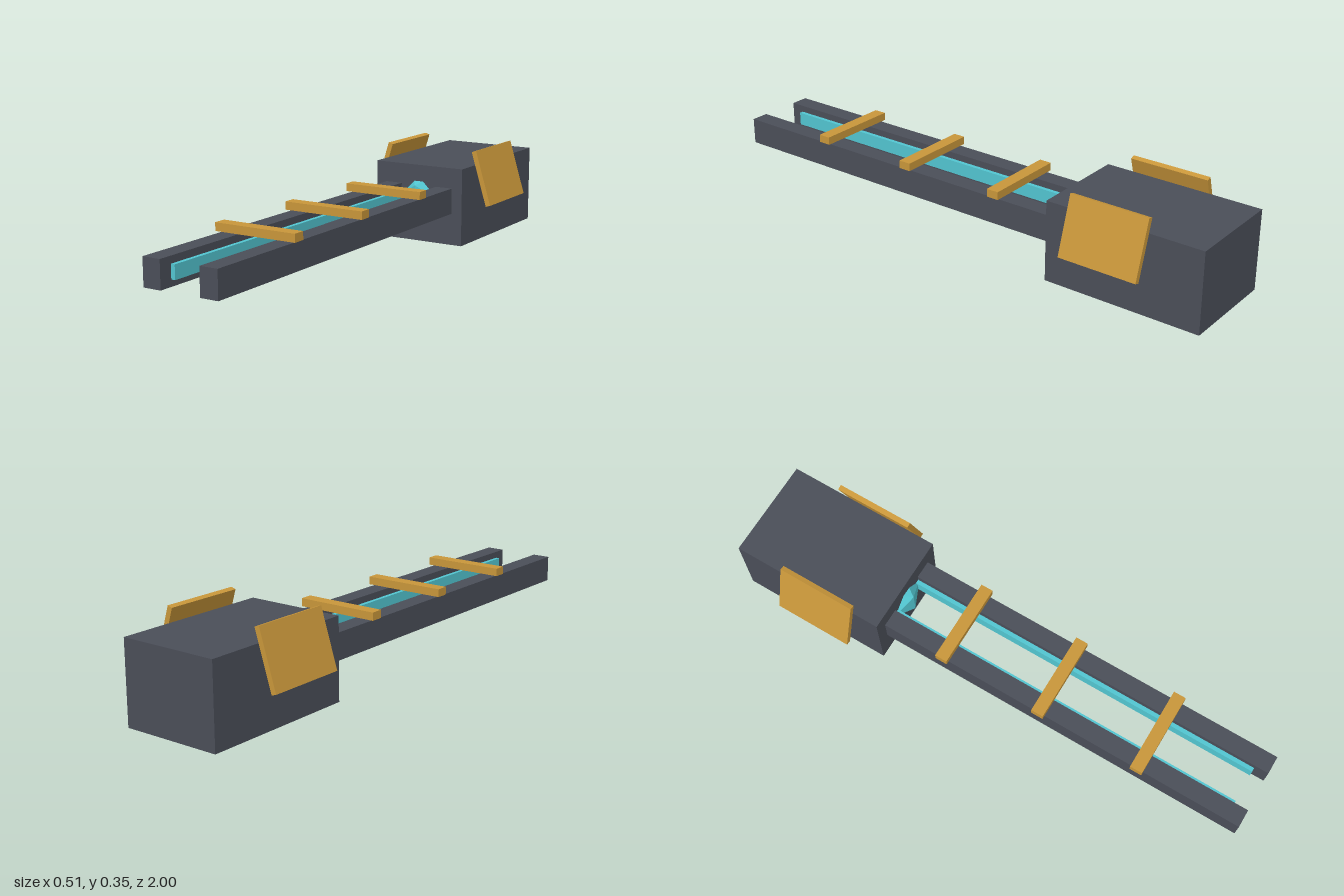
import * as THREE from 'three';

export function createModel() {
  const model = new THREE.Group();
  const material = (name, color) => {
    const m = new THREE.MeshStandardMaterial({ color, flatShading: true });
    m.name = name;
    return m;
  };
  const darkMetal = material('dark metal', 0x4a4e58);
  const gold = material('gold', 0xc8963a);
  const cyan = material('cyan', 0x52c5d0);

  const add = (name, geometry, mat, x, y, z) => {
    const mesh = new THREE.Mesh(geometry, mat);
    mesh.name = name;
    mesh.position.set(x, y, z);
    model.add(mesh);
    return mesh;
  };
  const box = (name, w, h, d, mat, x, y, z) =>
    add(name, new THREE.BoxGeometry(w, h, d), mat, x, y, z);

  // Rear housing with the faceted core half sunk into its front
  box('housing', 0.37, 0.294, 0.585, darkMetal, 0, 0.147, -0.7075);
  add('core', new THREE.IcosahedronGeometry(0.098, 0), cyan, 0, 0.168, -0.468);

  // Mirrored rails, inner glow strips and tilted side fins
  for (const [side, s] of [['left', 1], ['right', -1]]) {
    box(side + 'Rail', 0.067, 0.097, 1.415, darkMetal, s * 0.1085, 0.1685, 0.2925);
    box(side + 'GlowStrip', 0.016, 0.049, 1.365, cyan, s * 0.068, 0.1675, 0.2675);
    const fin = box(side + 'Fin', 0.019, 0.214, 0.293, gold, s * 0.2145, 0.2455, -0.658);
    fin.rotation.z = s * 0.3;
  }

  // Cross bars over the rails
  [-0.172, 0.218, 0.608].forEach((z, i) =>
    box('crossBar' + (i + 1), 0.312, 0.029, 0.046, gold, 0, 0.2355, z));

  return model;
}
